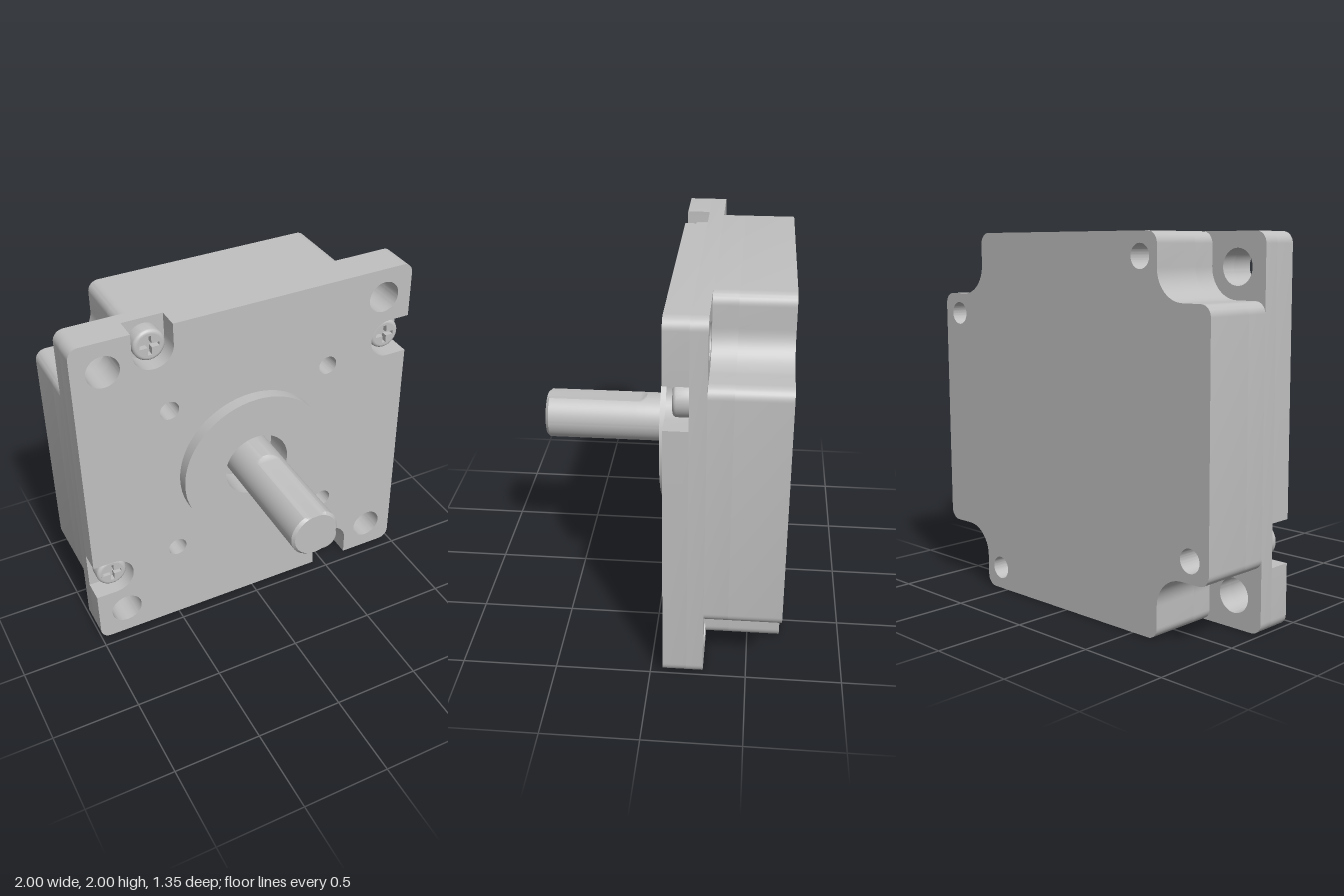
import * as THREE from 'three';
import { toCreasedNormals } from 'three/addons/utils/BufferGeometryUtils.js';

const metal = new THREE.MeshStandardMaterial({ color: 0xc0c0c0 });
metal.name = 'grey metal';

// depth levels along z
const BACK = -0.675, BODY = -0.275, POCKET = -0.19, FACE = -0.065, BOSS = 0.004, TIP = 0.674;

const HOLE = 0.827;               // mounting hole offset
const SCREW = [-0.553, 0.88];     // first screw, the others follow by quarter turns

const quarter = ([x, y], n) => {
  for (let i = 0; i < n; i++) [x, y] = [y, -x];
  return [x, y];
};
const turns = (p) => [0, 1, 2, 3].map((n) => quarter(p, n));

// points on an arc, angles in degrees
function arc(cx, cy, r, a0, a1, n = 10) {
  const pts = [];
  for (let i = 0; i <= n; i++) {
    const a = THREE.MathUtils.degToRad(a0 + ((a1 - a0) * i) / n);
    pts.push([cx + r * Math.cos(a), cy + r * Math.sin(a)]);
  }
  return pts;
}

// closed outline made of one side repeated by quarter turns
function outline(side) {
  const pts = [0, 1, 2, 3].flatMap((n) => side.map((p) => quarter(p, n)));
  return new THREE.Shape(pts.map(([x, y]) => new THREE.Vector2(x, y)));
}

const circle = (r, [x, y] = [0, 0]) => new THREE.Shape().absarc(x, y, r, 0, Math.PI * 2, false);

function add(group, name, geometry) {
  const mesh = new THREE.Mesh(toCreasedNormals(geometry, 0.4), metal);
  mesh.name = name;
  group.add(mesh);
  return mesh;
}

function slab(group, name, shape, z0, z1, holes = []) {
  shape.holes.push(...holes);
  const geometry = new THREE.ExtrudeGeometry(shape, { depth: z1 - z0, bevelEnabled: false, curveSegments: 32 });
  return add(group, name, geometry.translate(0, 0, z0));
}

// profile of [radius, z] turned about the z axis
function turned(profile, segments) {
  const pts = profile.map(([r, z]) => new THREE.Vector2(r, z));
  return new THREE.LatheGeometry(pts, segments).rotateX(Math.PI / 2);
}

function makeScrew([x, y]) {
  const screw = new THREE.Group();
  screw.name = 'screw';
  const top = -0.108, floor = -0.145, l = 0.055, w = 0.011;
  const rim = arc(0.07, top - 0.02, 0.02, 0, 90, 6);
  add(screw, 'screwRim', turned([[0.09, POCKET], ...rim], 40));
  const cross = outline([[-w, w], [-w, l], [w, l]]);
  slab(screw, 'screwTop', circle(0.07), floor, top, [cross]);
  slab(screw, 'screwCore', circle(0.07), POCKET, floor);
  screw.position.set(x, y, 0);
  return screw;
}

function makeShaft(group) {
  const r = 0.137, flat = 0.121, start = 0.11, end = 0.16;
  const profile = [[0, POCKET], [r, POCKET], [r, start]];
  for (let i = 1; i <= 5; i++) profile.push([r, start + ((end - start) * i) / 5]);
  profile.push([r, TIP - 0.016], [r - 0.014, TIP], [0, TIP]);
  const geometry = turned(profile, 90);
  // mill the flat, with a rounded run-out
  const p = geometry.attributes.position;
  for (let i = 0; i < p.count; i++) {
    const t = THREE.MathUtils.clamp((end - p.getZ(i)) / (end - start), 0, 1);
    p.setY(i, Math.min(p.getY(i), flat + (r - flat) * t * t));
  }
  add(group, 'shaft', geometry);
}

export function createModel() {
  const model = new THREE.Group();
  model.name = 'gearbox';
  const unit = new THREE.Group();
  unit.name = 'gearboxUnit';
  unit.position.y = 1;
  model.add(unit);

  const corner = arc(-0.94, 0.94, 0.06, 180, 90);
  const [sx, sy] = SCREW;
  const pocket = [[sx - 0.115, 1], ...arc(sx, sy, 0.115, 180, 360, 20), [sx + 0.115, 1]];
  const mountHoles = () => turns([HOLE, HOLE]).map((p) => circle(0.092, p));
  const tappedHoles = () => turns([0.483, 0.483]).map((p) => circle(0.055, p));

  // flange: front layer with screw pockets, plain layer behind
  slab(unit, 'flangeFront', outline([...corner, ...pocket]), POCKET, FACE,
    [...mountHoles(), ...tappedHoles(), circle(0.195)]);
  slab(unit, 'flangeRear', outline(corner), BODY, POCKET, [...mountHoles(), ...tappedHoles()]);

  // housing with scooped corners, blind holes open at the back
  const scoop = [
    ...arc(0.605, 0.94, 0.06, 90, 0),
    ...arc(HOLE, HOLE, HOLE - 0.665, 180, 270, 14),
    ...arc(0.94, 0.605, 0.06, 90, 0),
  ];
  slab(unit, 'housingFront', outline(scoop), -0.4, BODY);
  slab(unit, 'housingRear', outline(scoop), BACK, -0.4, turns(SCREW).map((p) => circle(0.062, p)));

  // raised pilot ring and output shaft
  slab(unit, 'pilotRing', circle(0.445), FACE, BOSS, [circle(0.195)]);
  makeShaft(unit);

  turns(SCREW).forEach((p) => unit.add(makeScrew(p)));
  return model;
}
